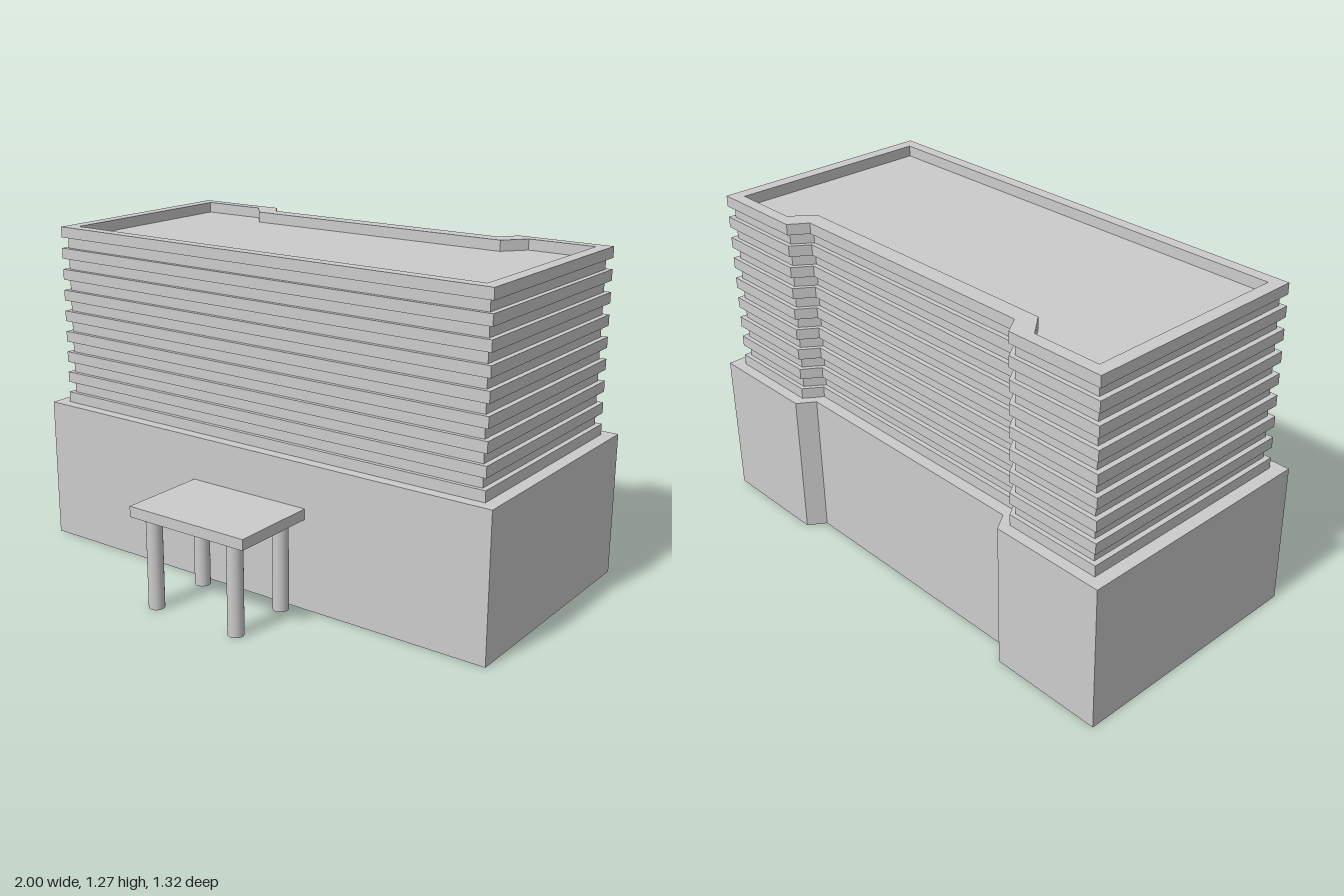
import * as THREE from 'three';

const grey = new THREE.MeshStandardMaterial({ color: 0xcccccc });

// Floor plan: a rectangle with a splayed recess in the back; given as model x and z.
function planPoints({ x, front, back, notch, notchIn, notchOut }) {
  return [
    [-x, front], [x, front], [x, back], [notchOut, back], [notchIn, notch],
    [-notchIn, notch], [-notchOut, back], [-x, back],
  ].map(([px, pz]) => new THREE.Vector2(px, -pz));
}

// Raise a floor plan from y to y + height, optionally with an inner opening.
function storey(name, plan, y, height, opening) {
  const shape = new THREE.Shape(planPoints(plan));
  if (opening) shape.holes.push(new THREE.Path(planPoints(opening)));
  const geometry = new THREE.ExtrudeGeometry(shape, { depth: height, bevelEnabled: false });
  geometry.rotateX(-Math.PI / 2);
  geometry.translate(0, y, 0);
  const mesh = new THREE.Mesh(geometry, grey);
  mesh.name = name;
  return mesh;
}

export function createModel() {
  const building = new THREE.Group();
  building.name = 'building';

  const basePlan = { x: 1, front: 0.309, back: -0.659, notch: -0.594, notchIn: 0.513, notchOut: 0.556 };
  const bandPlan = { x: 0.95, front: 0.266, back: -0.617, notch: -0.549, notchIn: 0.524, notchOut: 0.57 };
  const wallPlan = { x: 0.93, front: 0.25, back: -0.6, notch: -0.531, notchIn: 0.531, notchOut: 0.58 };
  const roofPlan = { x: 0.9, front: 0.22, back: -0.571, notch: -0.485, notchIn: 0.563, notchOut: 0.635 };

  const baseTop = 0.558, bandHeight = 0.0415, pitch = 0.0834, bands = 9;
  const roofY = baseTop + (bands - 1) * pitch;

  // Podium and recessed tower walls; the wall top is the roof floor
  building.add(storey('podium', basePlan, 0, baseTop));
  building.add(storey('towerWalls', wallPlan, baseTop, roofY - baseTop));

  // Projecting floor bands, the last one an open parapet
  for (let i = 0; i < bands - 1; i++) {
    building.add(storey('floorBand', bandPlan, baseTop + i * pitch, bandHeight));
  }
  building.add(storey('parapet', bandPlan, roofY, bandHeight, roofPlan));

  // Entrance canopy on four round columns
  const entrance = new THREE.Group();
  entrance.name = 'entrance';
  const canopy = new THREE.Mesh(new THREE.BoxGeometry(0.515, 0.041, 0.35), grey);
  canopy.name = 'canopy';
  canopy.position.set(0, 0.3685, 0.484);
  entrance.add(canopy);
  const columnGeometry = new THREE.CylinderGeometry(0.03, 0.03, 0.348, 24);
  for (const x of [-0.185, 0.185]) {
    for (const z of [0.612, 0.356]) {
      const column = new THREE.Mesh(columnGeometry, grey);
      column.name = 'column';
      column.position.set(x, 0.174, z);
      entrance.add(column);
    }
  }
  building.add(entrance);
  return building;
}
